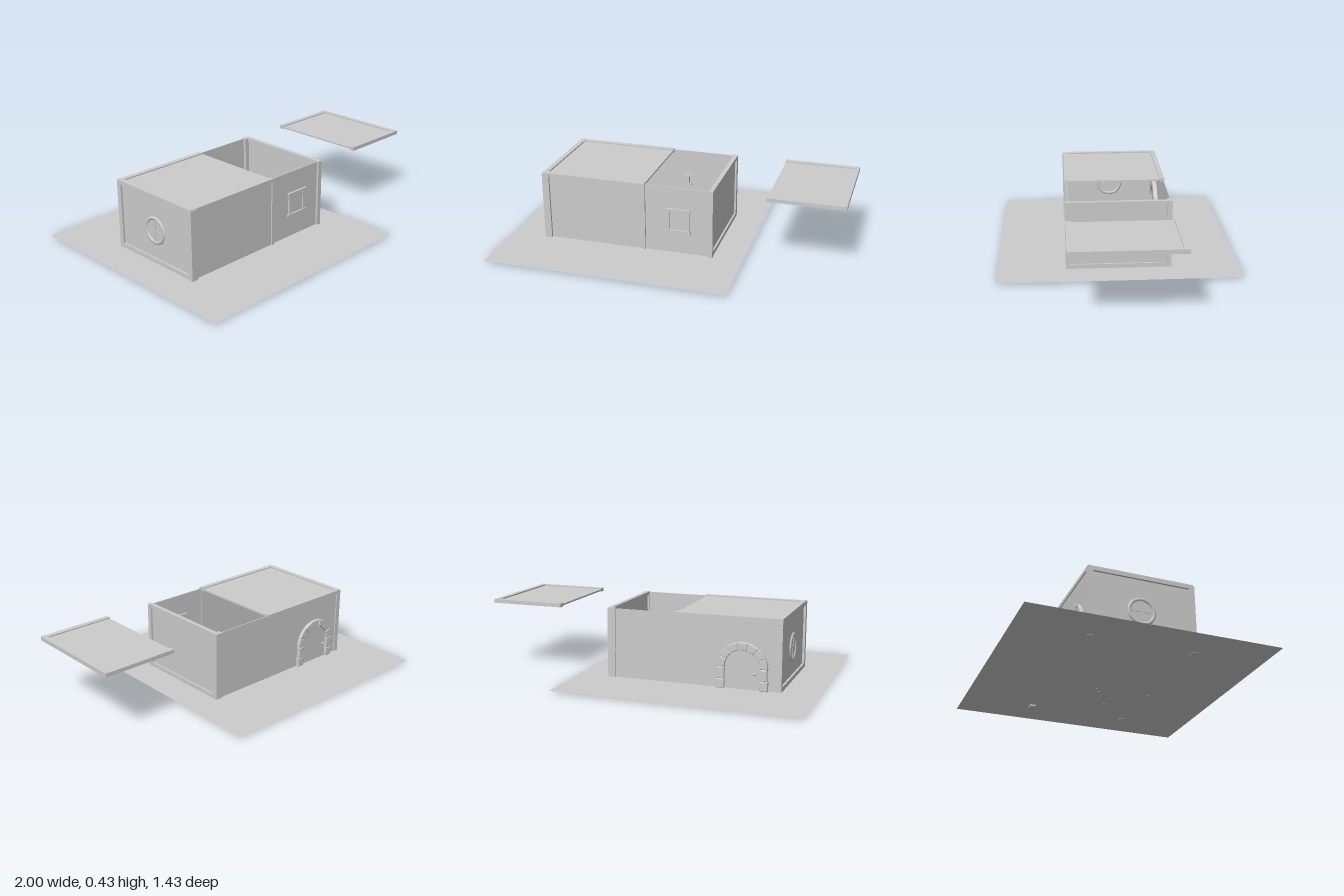
import * as THREE from 'three';

const mat = new THREE.MeshStandardMaterial({ color: 0xcccccc, flatShading: true });
const thin = new THREE.MeshStandardMaterial({ color: 0xcccccc, side: THREE.DoubleSide });

function add(parent, name, geometry, x = 0, y = 0, z = 0, material = mat) {
  const m = new THREE.Mesh(geometry, material);
  m.name = name;
  m.position.set(x, y, z);
  parent.add(m);
  return m;
}

// Box given by its limits on each axis
function box(parent, name, x0, x1, y0, y1, z0, z1) {
  return add(parent, name, new THREE.BoxGeometry(x1 - x0, y1 - y0, z1 - z0),
    (x0 + x1) / 2, (y0 + y1) / 2, (z0 + z1) / 2);
}

function group(parent, name) {
  const g = new THREE.Group();
  g.name = name;
  parent.add(g);
  return g;
}

// Roof section: thin panel with a raised rim on both long sides and one end
function roof(parent, name, x0, x1, rimAtStart) {
  const g = group(parent, name), w = 0.03;
  box(g, 'roofPanel', x0 + 0.003, x1 - 0.003, 0.407, 0.417, -0.3, 0.3);
  for (const s of [-1, 1]) {
    const a = s * 0.31, b = s * (0.31 - w);
    box(g, 'roofSideBeam', x0, x1, 0.402, 0.424, Math.min(a, b), Math.max(a, b));
  }
  if (rimAtStart) box(g, 'roofEndBeam', x0, x0 + w, 0.401, 0.425, -0.31, 0.31);
  else box(g, 'roofEndBeam', x1 - w, x1, 0.401, 0.425, -0.31, 0.31);
}

// Bevelled stone extruded from a 2D outline
function stone(parent, points, z0, z1) {
  const b = 0.005;
  const shape = new THREE.Shape(points.map(p => new THREE.Vector2(p[0], p[1])));
  const geo = new THREE.ExtrudeGeometry(shape, {
    depth: z1 - z0 - 2 * b, bevelThickness: b, bevelSize: b, bevelOffset: -b, bevelSegments: 2,
  });
  add(parent, 'doorStone', geo, 0, 0, z0 + b);
}

// Door with stone jambs and arch
function door(parent) {
  const g = group(parent, 'door');
  g.position.x = -0.565;
  const inner = 0.102, outer = 0.147, spring = 0.135, z0 = -0.325, z1 = -0.272;
  for (const s of [-1, 1]) {
    for (const [y0, y1, extra] of [[0.01, 0.065, 0.002], [0.066, 0.134, -0.003]]) {
      const a = s * inner, b = s * (outer + extra);
      const l = Math.min(a, b), r = Math.max(a, b);
      stone(g, [[l, y0], [r, y0], [r, y1], [l, y1]], z0, z1);
    }
  }
  const n = 7, step = Math.PI / n;
  for (let i = 0; i < n; i++) {
    const pts = [];
    for (let k = 0; k <= 3; k++) {
      const t = step * (i + k / 3);
      pts.push([Math.cos(t) * outer, spring + Math.sin(t) * outer]);
    }
    for (let k = 3; k >= 0; k--) {
      const t = step * (i + k / 3);
      pts.push([Math.cos(t) * inner, spring + Math.sin(t) * inner]);
    }
    stone(g, pts, z0 + (i % 2) * 0.003, z1);
  }
  const leaf = new THREE.Shape();
  leaf.moveTo(-inner, 0.01);
  leaf.lineTo(inner, 0.01);
  leaf.lineTo(inner, spring);
  leaf.absarc(0, spring, inner, 0, Math.PI, false);
  add(g, 'doorLeaf', new THREE.ExtrudeGeometry(leaf, { depth: 0.022, bevelEnabled: false, curveSegments: 10 }), 0, 0, -0.308);
  add(g, 'doorKnob', new THREE.SphereGeometry(0.009, 10, 8), -0.072, 0.105, -0.321);
}

// Front window with wide sill and lintel
function frontWindow(parent) {
  const g = group(parent, 'frontWindow');
  box(g, 'windowSill', -0.033, 0.12, 0.14, 0.157, 0.28, 0.313);
  box(g, 'windowLintel', -0.033, 0.12, 0.273, 0.29, 0.28, 0.313);
  box(g, 'windowJamb', -0.024, -0.008, 0.157, 0.273, 0.282, 0.309);
  box(g, 'windowJamb', 0.095, 0.111, 0.157, 0.273, 0.282, 0.309);
  box(g, 'windowPane', -0.008, 0.095, 0.157, 0.273, 0.29, 0.302);
}

// Round end window
function roundWindow(parent) {
  const g = group(parent, 'roundWindow');
  g.position.set(-0.775, 0.205, 0);
  g.rotation.y = Math.PI / 2;
  add(g, 'roundFrame', new THREE.TorusGeometry(0.073, 0.012, 8, 24), 0, 0, 0, thin);
  add(g, 'roundPane', new THREE.CylinderGeometry(0.07, 0.07, 0.01, 24)).rotation.x = Math.PI / 2;
  box(g, 'roundBar', -0.07, 0.07, -0.005, 0.005, -0.008, 0.008);
  box(g, 'roundBar', -0.005, 0.005, -0.07, 0.07, -0.008, 0.008);
}

function legs(parent, name, hx, hz, y1, r) {
  for (const sx of [-1, 1]) for (const sz of [-1, 1])
    box(parent, name, sx * hx - r, sx * hx + r, 0.008, y1, sz * hz - r, sz * hz + r);
}

function furniture(parent) {
  const t = group(parent, 'table');
  box(t, 'tableTop', -0.06, 0.06, 0.118, 0.13, -0.12, 0.12);
  legs(t, 'tableLeg', 0.048, 0.106, 0.118, 0.007);
  add(t, 'plate', new THREE.CylinderGeometry(0.026, 0.018, 0.006, 8), 0.003, 0.133, 0.018);
  add(t, 'cup', new THREE.CylinderGeometry(0.007, 0.006, 0.016, 8), 0.036, 0.138, -0.015);

  const c = group(parent, 'chair');
  c.position.set(-0.122, 0, -0.022);
  c.rotation.y = -0.65;
  box(c, 'chairSeat', -0.028, 0.028, 0.07, 0.078, -0.028, 0.028);
  legs(c, 'chairLeg', 0.023, 0.023, 0.07, 0.004);
  box(c, 'chairBack', -0.028, -0.021, 0.078, 0.15, -0.028, 0.028);

  // Wall lamp on the back wall
  const l = group(parent, 'wallLamp');
  l.position.set(-0.065, 0, -0.283);
  box(l, 'lampBar', -0.037, 0.037, 0.255, 0.263, -0.006, 0.006);
  box(l, 'lampBracket', -0.008, 0.008, 0.195, 0.255, -0.01, 0.006);
  box(l, 'lampShelf', -0.022, 0.022, 0.195, 0.207, -0.008, 0.008);
  add(l, 'lampFlame', new THREE.ConeGeometry(0.01, 0.03, 8), 0, 0.277, 0);
}

export function createModel() {
  const model = new THREE.Group();
  model.name = 'house';

  const ground = add(model, 'ground', new THREE.PlaneGeometry(1.433, 1.426), -0.2835, 0.01, 0, thin);
  ground.rotation.x = -Math.PI / 2;

  // Walls
  const walls = group(model, 'walls');
  box(walls, 'frontWall', -0.775, -0.16, 0.01, 0.418, 0.297, 0.303);
  box(walls, 'frontWall', -0.16, 0.24, 0.01, 0.418, 0.293, 0.299);
  box(walls, 'backWall', -0.775, 0.24, 0.01, 0.418, -0.304, -0.298);
  box(walls, 'leftEndWall', 0.233, 0.239, 0.01, 0.415, -0.3, 0.297);
  box(walls, 'rightEndWall', -0.778, -0.772, 0.01, 0.415, -0.3, 0.3);

  // Posts and beams framing both ends
  const frame = group(model, 'frame');
  box(frame, 'cornerPost', 0.203, 0.25, 0, 0.42, -0.311, -0.28);
  box(frame, 'cornerPost', 0.224, 0.252, 0.008, 0.42, 0.285, 0.312);
  box(frame, 'cornerPost', -0.79, -0.76, 0.008, 0.42, -0.311, -0.28);
  box(frame, 'cornerPost', -0.792, -0.75, 0.008, 0.42, 0.285, 0.316);
  box(frame, 'middlePost', -0.172, -0.155, 0.008, 0.42, 0.288, 0.311);
  for (const [x0, x1] of [[0.224, 0.25], [-0.79, -0.762]]) {
    box(frame, 'topBeam', x0, x1, 0.398, 0.421, -0.29, 0.295);
    box(frame, 'bottomBeam', x0, x1, 0.01, 0.036, -0.29, 0.295);
  }

  // Fixed roof and the roof section lifted aside
  roof(model, 'fixedRoof', -0.79, -0.16, true);
  roof(model, 'liftedRoof', 0.553, 1, false);

  door(model);
  frontWindow(model);
  roundWindow(model);
  furniture(model);
  return model;
}
